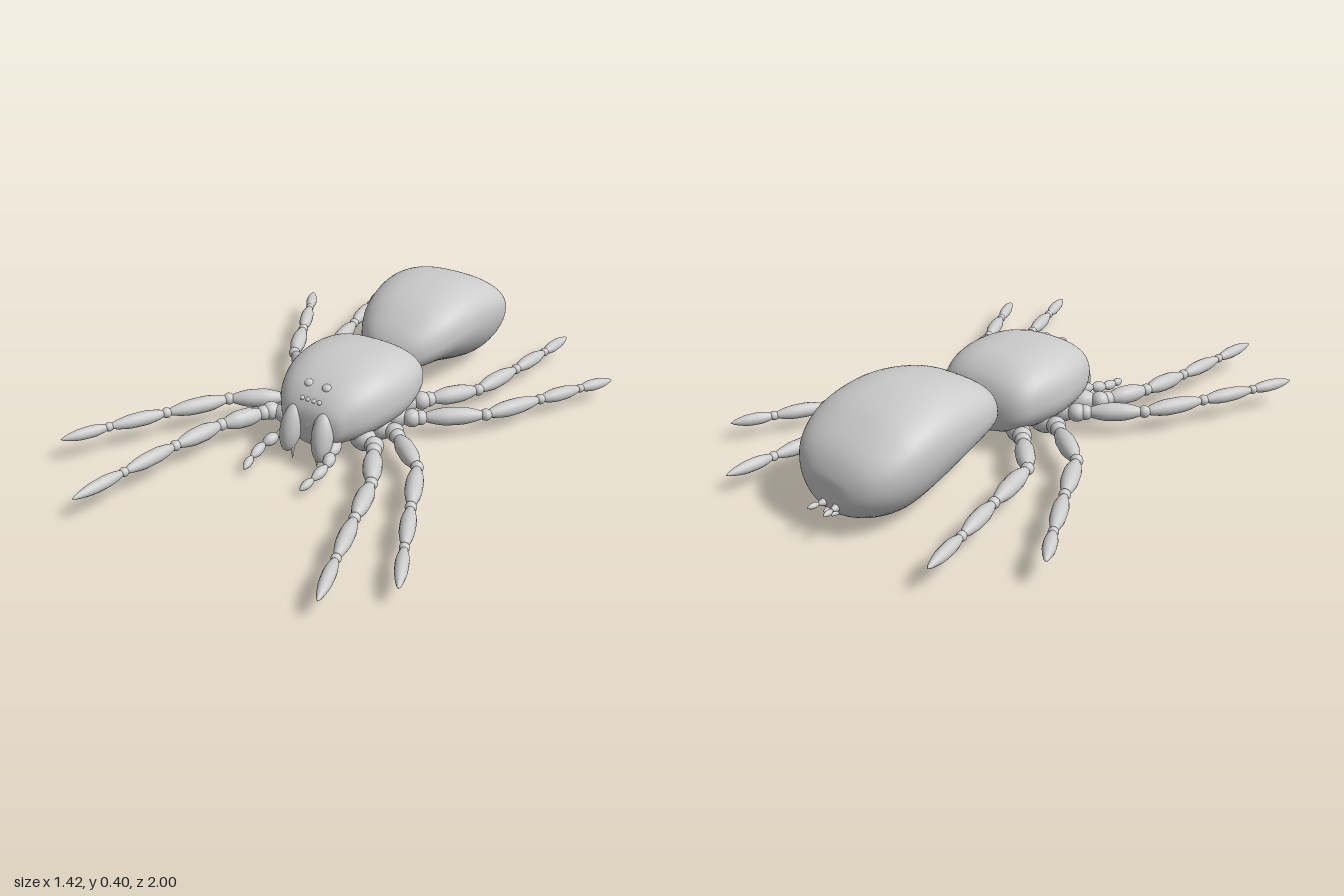
import * as THREE from 'three';

const grey = new THREE.MeshStandardMaterial({ color: 0xcccccc, roughness: 0.7 });
const V = (x, y, z) => new THREE.Vector3(x, y, z);

function part(name, geometry, parent) {
  const mesh = new THREE.Mesh(geometry, grey);
  mesh.name = name;
  parent.add(mesh);
  return mesh;
}

// Smooth body through stations [z, half width, bottom y, widest y, top y], back to front
function loft(stations, xCentre, nTop, nLow) {
  const across = 48, along = 56, pos = [], idx = [];
  const curve = (f) => new THREE.CatmullRomCurve3(stations.map(f), false, 'catmullrom', 0.5);
  const a = curve((s) => V(s[0], s[1], s[2])), b = curve((s) => V(s[0], s[3], s[4]));
  const pow = (v, n) => Math.sign(v) * Math.abs(v) ** (2 / n);
  for (let i = 0; i <= along; i++) {
    const p = a.getPoint(i / along), q = b.getPoint(i / along);
    for (let j = 0; j < across; j++) {
      const t = (j / across) * Math.PI * 2, s = Math.sin(t);
      const n = s >= 0 ? nTop : nLow;
      const h = s >= 0 ? q.z - q.y : q.y - p.z;
      pos.push(xCentre + Math.max(p.y, 0) * pow(Math.cos(t), n), q.y + h * pow(s, n), p.x);
      if (i < along) {
        const k = (j + 1) % across, r = i * across, u = r + across;
        idx.push(r + j, r + k, u + j, r + k, u + k, u + j);
      }
    }
  }
  const g = new THREE.BufferGeometry();
  g.setAttribute('position', new THREE.Float32BufferAttribute(pos, 3));
  g.setIndex(idx);
  g.computeVertexNormals();
  return g;
}

// Swollen limb segment between two points, narrow at its joints
function segment(name, from, to, r0, r1, parent) {
  const len = from.distanceTo(to), pts = [];
  for (let i = 0; i <= 14; i++) {
    const t = i / 14;
    const swell = Math.min(1, Math.sqrt(Math.sin(Math.PI * t)) * 0.6 + 0.45 * Math.sin(Math.PI * t));
    pts.push(new THREE.Vector2(i % 14 ? THREE.MathUtils.lerp(r0, r1, t) * swell : 0, t * len));
  }
  const m = part(name, new THREE.LatheGeometry(pts, 16), parent);
  m.position.copy(from);
  m.quaternion.setFromUnitVectors(V(0, 1, 0), to.clone().sub(from).normalize());
}

function ellipsoid(name, c, rx, ry, rz, parent) {
  const m = part(name, new THREE.SphereGeometry(1, 24, 16), parent);
  m.position.set(...c);
  m.scale.set(rx, ry, rz);
  return m;
}

// Each leg: hip, knee, two joints and tip as [x, z]
const LEGS = {
  rightFrontLeg: [[-0.23, 0.19], [-0.315, 0.37], [-0.355, 0.57], [-0.385, 0.79], [-0.41, 1.0]],
  rightSecondLeg: [[-0.22, 0.06], [-0.41, 0.21], [-0.53, 0.42], [-0.63, 0.61], [-0.705, 0.77]],
  rightThirdLeg: [[-0.225, -0.07], [-0.43, -0.23], [-0.53, -0.43], [-0.63, -0.62], [-0.705, -0.755]],
  rightBackLeg: [[-0.18, -0.205], [-0.335, -0.37], [-0.385, -0.6], [-0.43, -0.8], [-0.465, -0.985]],
  leftFrontLeg: [[0.21, 0.18], [0.325, 0.38], [0.385, 0.57], [0.45, 0.77], [0.515, 0.96]],
  leftSecondLeg: [[0.22, 0.06], [0.4, 0.21], [0.5, 0.42], [0.59, 0.61], [0.675, 0.785]],
  leftThirdLeg: [[0.22, -0.06], [0.43, -0.235], [0.545, -0.455], [0.635, -0.62], [0.71, -0.755]],
  leftBackLeg: [[0.185, -0.19], [0.32, -0.385], [0.365, -0.62], [0.395, -0.82], [0.415, -1.0]],
};

function buildLeg(name, joints, parent) {
  const leg = new THREE.Group();
  leg.name = name;
  parent.add(leg);
  // The leg plane dips slightly towards the left
  const p = joints.map(([x, z]) => V(x, 0.088 - 0.02 * x, z));
  const hip = p[0];
  segment('coxa', V(hip.x * 0.4, 0.075, hip.z * 0.62 + 0.01), hip, 0.045, 0.04, leg);
  ellipsoid('hipJoint', hip.toArray(), 0.034, 0.034, 0.034, leg);
  const dir = p[1].clone().sub(hip).normalize();
  ellipsoid('trochanter', hip.clone().addScaledVector(dir, 0.03).toArray(), 0.028, 0.028, 0.028, leg);
  const radii = [0.035, 0.032, 0.028, 0.024, 0.019];
  for (let i = 0; i < 4; i++) {
    const d = p[i + 1].clone().sub(p[i]).normalize();
    const start = p[i].clone().addScaledVector(d, i ? -0.012 : 0.02);
    const end = p[i + 1].clone().addScaledVector(d, i < 3 ? 0.012 : 0);
    segment(['femur', 'tibia', 'metatarsus', 'tarsus'][i], start, end, radii[i], radii[i + 1], leg);
    if (i) ellipsoid('joint', p[i].toArray(), radii[i] * 0.7, radii[i] * 0.7, radii[i] * 0.7, leg);
  }
}

export function createModel() {
  const spider = new THREE.Group();
  spider.name = 'spider';

  part('abdomen', loft([
    [-0.942, 0, 0.15, 0.155, 0.16],
    [-0.937, 0.09, 0.095, 0.16, 0.21],
    [-0.9, 0.165, 0.055, 0.19, 0.275],
    [-0.83, 0.215, 0.022, 0.22, 0.33],
    [-0.73, 0.235, 0.004, 0.25, 0.378],
    [-0.58, 0.231, 0.045, 0.26, 0.4],
    [-0.42, 0.203, 0.1, 0.245, 0.37],
    [-0.31, 0.152, 0.115, 0.215, 0.31],
    [-0.25, 0.085, 0.125, 0.19, 0.25],
    [-0.235, 0, 0.18, 0.185, 0.19],
  ], -0.008, 2.5, 1.9), spider);

  part('cephalothorax', loft([
    [-0.245, 0, 0.145, 0.15, 0.155],
    [-0.235, 0.115, 0.09, 0.16, 0.215],
    [-0.2, 0.18, 0.065, 0.18, 0.275],
    [-0.13, 0.212, 0.05, 0.19, 0.317],
    [-0.03, 0.228, 0.042, 0.19, 0.332],
    [0.08, 0.217, 0.042, 0.19, 0.328],
    [0.17, 0.188, 0.05, 0.18, 0.302],
    [0.235, 0.148, 0.06, 0.17, 0.262],
    [0.275, 0.1, 0.075, 0.155, 0.21],
    [0.288, 0, 0.14, 0.145, 0.15],
  ], 0, 2.6, 2.1), spider);

  segment('pedicel', V(0, 0.15, -0.32), V(0, 0.15, -0.16), 0.06, 0.06, spider);
  ellipsoid('sternum', [0, 0.06, 0.0], 0.11, 0.025, 0.16, spider);

  // Eyes: a large pair above a row of four
  for (const x of [-0.039, 0.035]) ellipsoid('largeEye', [x, 0.27, 0.207], 0.021, 0.016, 0.02, spider);
  for (const x of [-0.037, -0.014, 0.011, 0.034]) {
    ellipsoid('smallEye', [x, 0.235, 0.252], 0.011, 0.009, 0.012, spider);
  }

  for (const side of [-1, 1]) {
    const s = side > 0 ? 'left' : 'right';
    // Jaws with downward fangs
    const jaw = ellipsoid(s + 'Chelicera', [side * 0.066, 0.125, 0.287], 0.039, 0.09, 0.04, spider);
    jaw.rotation.set(-0.3, 0, side * 0.06);
    const fang = part(s + 'Fang', new THREE.ConeGeometry(0.011, 0.06, 12), spider);
    fang.position.set(side * 0.052, 0.036, 0.303);
    fang.rotation.x = Math.PI;

    // Feelers beside the jaws
    const palp = new THREE.Group();
    palp.name = s + 'Pedipalp';
    spider.add(palp);
    const off = side > 0 ? -0.016 : 0;
    const path = [V(side * 0.08, 0.085, 0.22), V(side * 0.125 + off, 0.075, 0.295),
      V(side * 0.142 + off, 0.062, 0.35), V(side * 0.137 + off, 0.048, 0.425), V(side * 0.127 + off, 0.035, 0.48)];
    for (let i = 0; i < 4; i++) {
      const d = path[i + 1].clone().sub(path[i]).normalize().multiplyScalar(0.006);
      const r = [0.027, 0.023, 0.02, 0.016][i];
      segment('palpSegment', path[i].clone().sub(d), path[i + 1].clone().add(d), r, r * 0.85, palp);
    }

    // Spinnerets
    const cx = -0.02;
    segment(s + 'Spinneret', V(cx + side * 0.022, 0.11, -0.9), V(cx + side * 0.03, 0.112, -0.965), 0.014, 0.012, spider);
    segment(s + 'SpinneretTip', V(cx + side * 0.03, 0.112, -0.955), V(cx + side * 0.036, 0.113, -1.0), 0.011, 0.008, spider);
    segment(s + 'LowerSpinneret', V(cx + side * 0.014, 0.09, -0.89), V(cx + side * 0.018, 0.085, -0.955), 0.012, 0.009, spider);
  }

  for (const [name, joints] of Object.entries(LEGS)) buildLeg(name, joints, spider);
  return spider;
}
